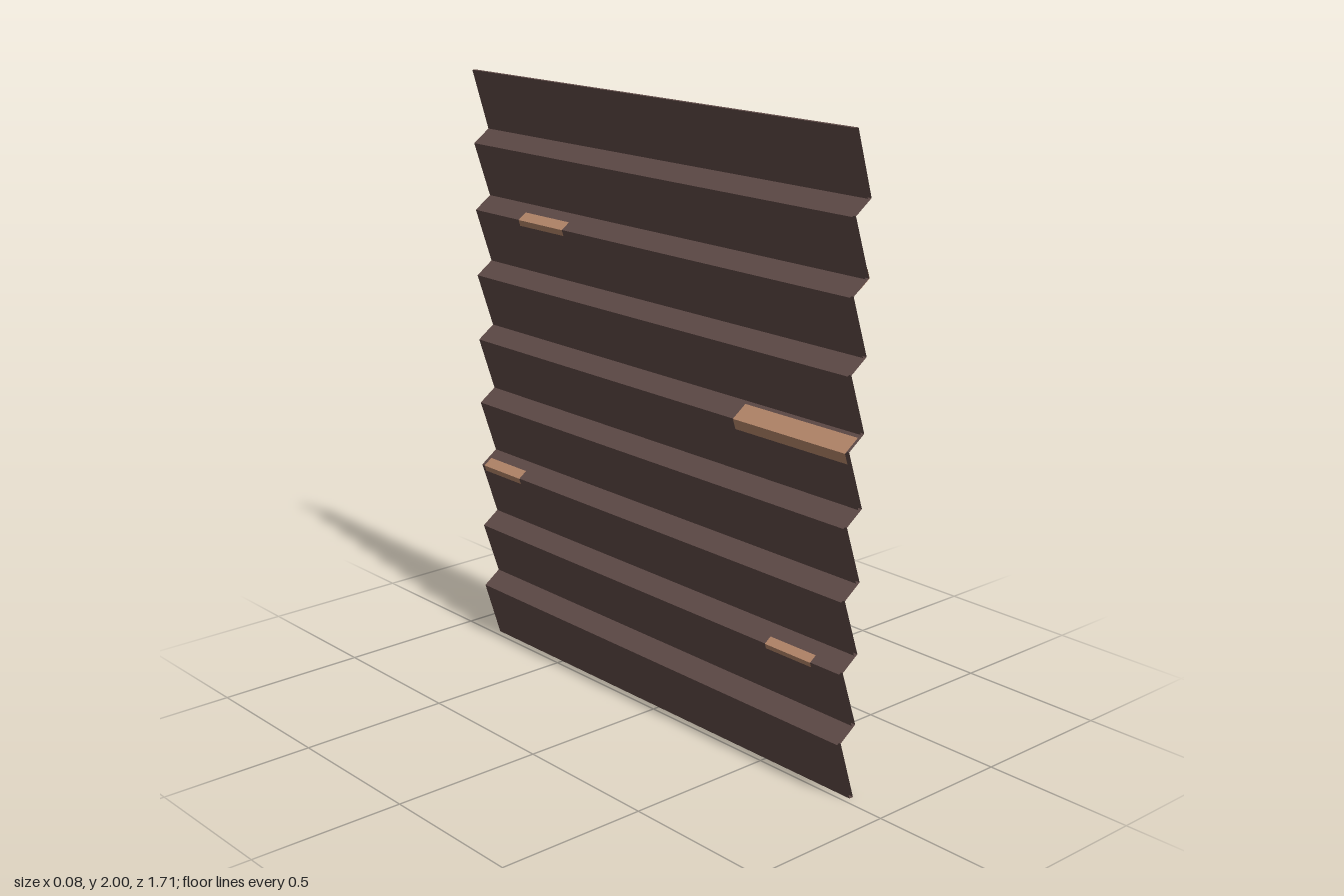
import * as THREE from 'three';

const HALF = 0.855;      // half length along z
const PITCH = 0.2237;    // height of one board course
const COURSES = 9;
const THICK = 0.015;

// Builds a flat-shaded surface from quads of four [x, y, z] corners
function quads(list) {
  const pos = [];
  for (const [a, b, c, d] of list) pos.push(...a, ...b, ...c, ...a, ...c, ...d);
  const g = new THREE.BufferGeometry();
  g.setAttribute('position', new THREE.Float32BufferAttribute(pos, 3));
  g.computeVertexNormals();
  return g;
}

export function createModel() {
  const group = new THREE.Group();
  const paint = new THREE.MeshStandardMaterial({ color: 0x5f4a47, side: THREE.DoubleSide });
  paint.name = 'dark brown paint';
  const wood = new THREE.MeshStandardMaterial({ color: 0xb5876a, side: THREE.DoubleSide });
  wood.name = 'bare wood';

  const add = (name, list, material) => {
    const mesh = new THREE.Mesh(quads(list), material);
    mesh.name = name;
    group.add(mesh);
  };

  // Zigzag profiles: even points are outer lips, odd points are inner ridges
  const front = [];
  for (let k = 0; k < COURSES; k++) {
    front.push([0.0375, k ? 0.012 + k * PITCH : 0]);
    front.push([-0.0225, k === COURSES - 1 ? 2 : 0.193 + k * PITCH]);
  }
  const back = front.map(([x, y]) => [x - THICK, y]);

  // Sheet spanning z between two profile points
  const span = (p, q) => [[...p, HALF], [...p, -HALF], [...q, -HALF], [...q, HALF]];
  const sheet = (pts) => pts.slice(1).map((q, i) => span(pts[i], q));
  add('frontBoards', sheet(front), paint);
  add('backBoards', sheet(back).map((q) => q.reverse()), paint);
  add('topEdge', [span(front[front.length - 1], back[back.length - 1])], paint);
  add('bottomEdge', [span(back[0], front[0])], paint);

  // Chipped paint: rows of [z, fraction of the face] from ridge i towards point j
  const chip = (name, pts, i, j, rows) => {
    const lift = pts === front ? 0.002 : -0.002;
    const at = (z, t) => [
      THREE.MathUtils.lerp(pts[i][0], pts[j][0], t) + lift,
      THREE.MathUtils.lerp(pts[i][1], pts[j][1], t), z];
    const list = rows.slice(1).map(([z, t], n) => {
      const [z0, t0] = rows[n];
      return [at(z0, 0), at(z, 0), at(z, t), at(z0, t)];
    });
    add(name, list, wood);
  };

  // Chips on the outer lips
  chip('upperLipChip', front, 14, 15, [[HALF, 0.15], [0.52, 0.15], [0.42, 0.1], [0.35, 0]]);
  chip('upperLipChipUnderside', front, 14, 13, [[HALF, 0.65], [0.45, 0.65], [0.38, 0.35], [0.33, 0]]);
  chip('middleLipChip', front, 6, 7, [[0.48, 0], [0.38, 0.08], [0.24, 0.15], [0, 0.13], [-0.27, 0.07], [-0.33, 0]]);
  chip('lowerLipChip', front, 2, 3, [[0.08, 0], [-0.03, 0.08], [-0.38, 0.09], [-0.54, 0]]);

  // Chips on the inner ridges of the back
  const ridges = [
    [13, -0.62, -0.3, 0.5], [9, 0.4, HALF, 0.85],
    [5, -0.84, -0.56, 0.5], [3, 0.55, 0.82, 0.4],
  ];
  for (const [i, z0, z1, size] of ridges) {
    const shape = (t) => {
      const w = z1 - z0;
      return [[z0, 0], [z0 + w * 0.3, t], [z0 + w * 0.7, t], [z1, z1 === HALF ? t : 0]];
    };
    chip('backRidgeChipTop', back, i, i + 1, shape(size));
    chip('backRidgeChipFace', back, i, i - 1, shape(size * 0.22));
  }
  return group;
}
